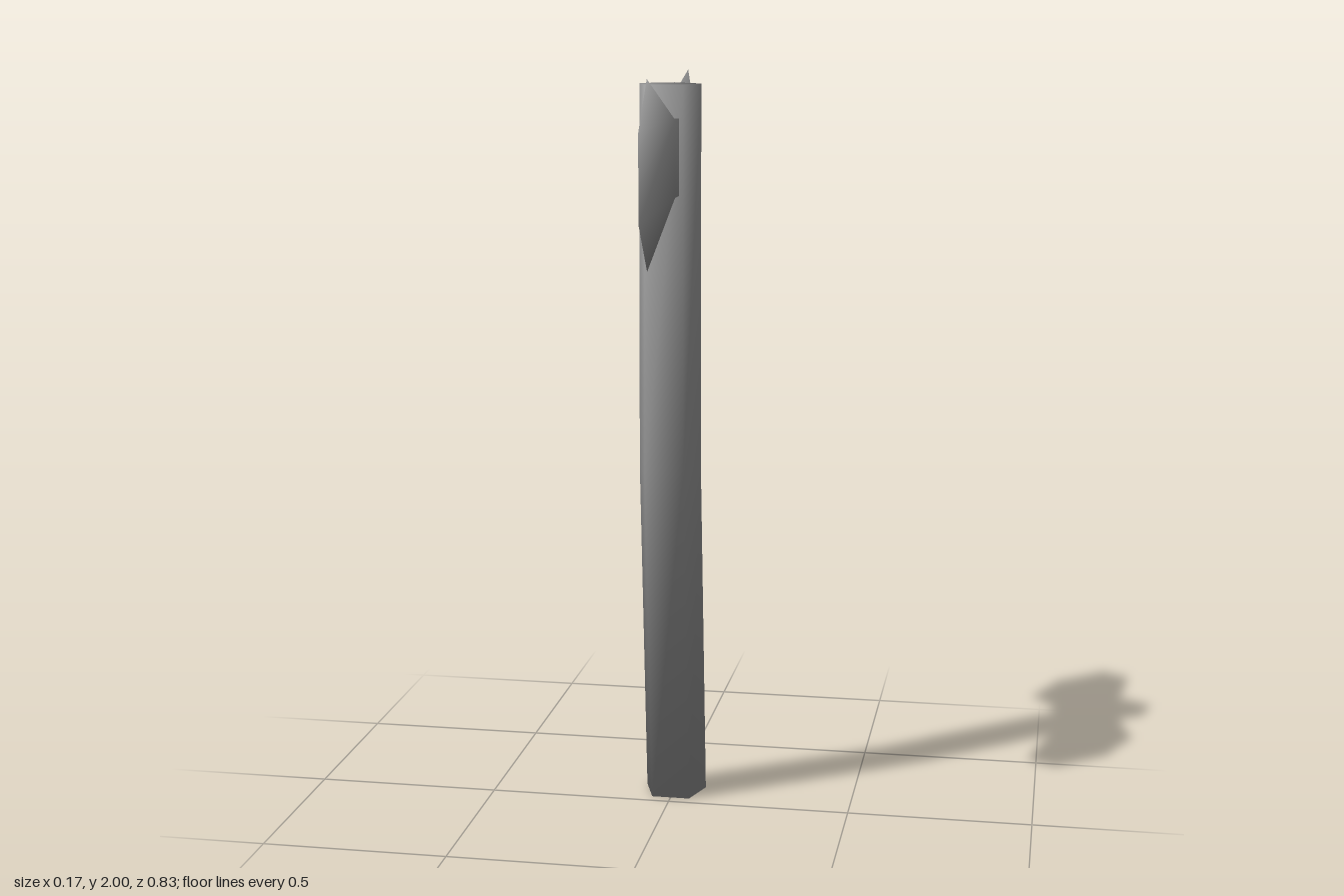
import * as THREE from 'three';

const material = new THREE.MeshStandardMaterial({ color: 0x949494 });

// Indexed geometry whose shared normals weigh each face by its corner angle
function smoothGeometry(points, index) {
  const corners = [];
  for (let i = 0; i < points.length; i += 3) corners.push(new THREE.Vector3().fromArray(points, i));
  const normals = corners.map(() => new THREE.Vector3());
  const face = new THREE.Triangle();
  const normal = new THREE.Vector3();
  for (let i = 0; i < index.length; i += 3) {
    const tri = index.slice(i, i + 3);
    face.set(...tri.map((v) => corners[v])).getNormal(normal);
    tri.forEach((v, k) => {
      const toNext = corners[tri[(k + 1) % 3]].clone().sub(corners[v]);
      const toLast = corners[tri[(k + 2) % 3]].clone().sub(corners[v]);
      normals[v].addScaledVector(normal, toNext.angleTo(toLast));
    });
  }
  const geometry = new THREE.BufferGeometry();
  geometry.setAttribute('position', new THREE.Float32BufferAttribute(points, 3));
  geometry.setAttribute('normal', new THREE.Float32BufferAttribute(
    normals.flatMap((n) => n.normalize().toArray()), 3));
  geometry.setIndex(index);
  return geometry;
}

// Quads between two loops of n corners that start at vertices a and b
function bridge(index, a, b, n) {
  for (let i = 0; i < n; i++) {
    const j = (i + 1) % n;
    index.push(a + i, a + j, b + j, a + i, b + j, b + i);
  }
}

// Five-sided shaft, straight above the bend and swept backwards below it
function createHandleGeometry() {
  const sides = 5;
  const rings = [
    { y: 0, z: -0.102, rx: 0.0885, rz: 0.087 },
    { y: 0.95, z: 0, rx: 0.0885, rz: 0.087 },
    { y: 1.975, z: 0, rx: 0.0865, rz: 0.0855 },
  ];
  const points = [], index = [];
  for (const { y, z, rx, rz } of rings) {
    for (let i = 0; i < sides; i++) {
      const angle = Math.PI + (i / sides) * Math.PI * 2;
      points.push(Math.sin(angle) * rx, y, z + Math.cos(angle) * rz);
    }
  }
  bridge(index, 0, sides, sides);
  bridge(index, sides, sides * 2, sides);
  // End caps
  const top = sides * 2;
  for (let i = 1; i < sides - 1; i++) {
    index.push(0, i + 1, i, top, top + i, top + i + 1);
  }
  return smoothGeometry(points, index);
}

// Square neck flaring into a wedge that thins to a four-point cutting edge
function createBladeGeometry() {
  const w = 0.04, low = 1.69, high = 1.89;
  const points = [];
  for (const z of [0.055, 0.127]) {
    points.push(w, low, z, w, high, z, -w, high, z, -w, low, z);
  }
  points.push(0, 2, 0.302, 0, 1.875, 0.415, 0, 1.65, 0.415, 0, 1.52, 0.302);

  const index = [0, 3, 2, 0, 2, 1]; // inner end of the neck
  bridge(index, 0, 4, 4);
  index.push(
    5, 8, 9, 5, 9, 10, 5, 10, 4, 4, 10, 11, // left cheek
    6, 9, 8, 6, 10, 9, 6, 7, 10, 7, 11, 10, // right cheek
    5, 6, 8, 4, 11, 7, // top and bottom slopes
  );
  return smoothGeometry(points, index);
}

export function createModel() {
  const axe = new THREE.Group();
  axe.name = 'doubleAxe';

  const handle = new THREE.Mesh(createHandleGeometry(), material);
  handle.name = 'handle';
  axe.add(handle);

  // Matching blades at front and back
  const bladeGeometry = createBladeGeometry();
  ['frontBlade', 'backBlade'].forEach((name, i) => {
    const blade = new THREE.Mesh(bladeGeometry, material);
    blade.name = name;
    blade.rotation.y = i * Math.PI;
    axe.add(blade);
  });
  return axe;
}
